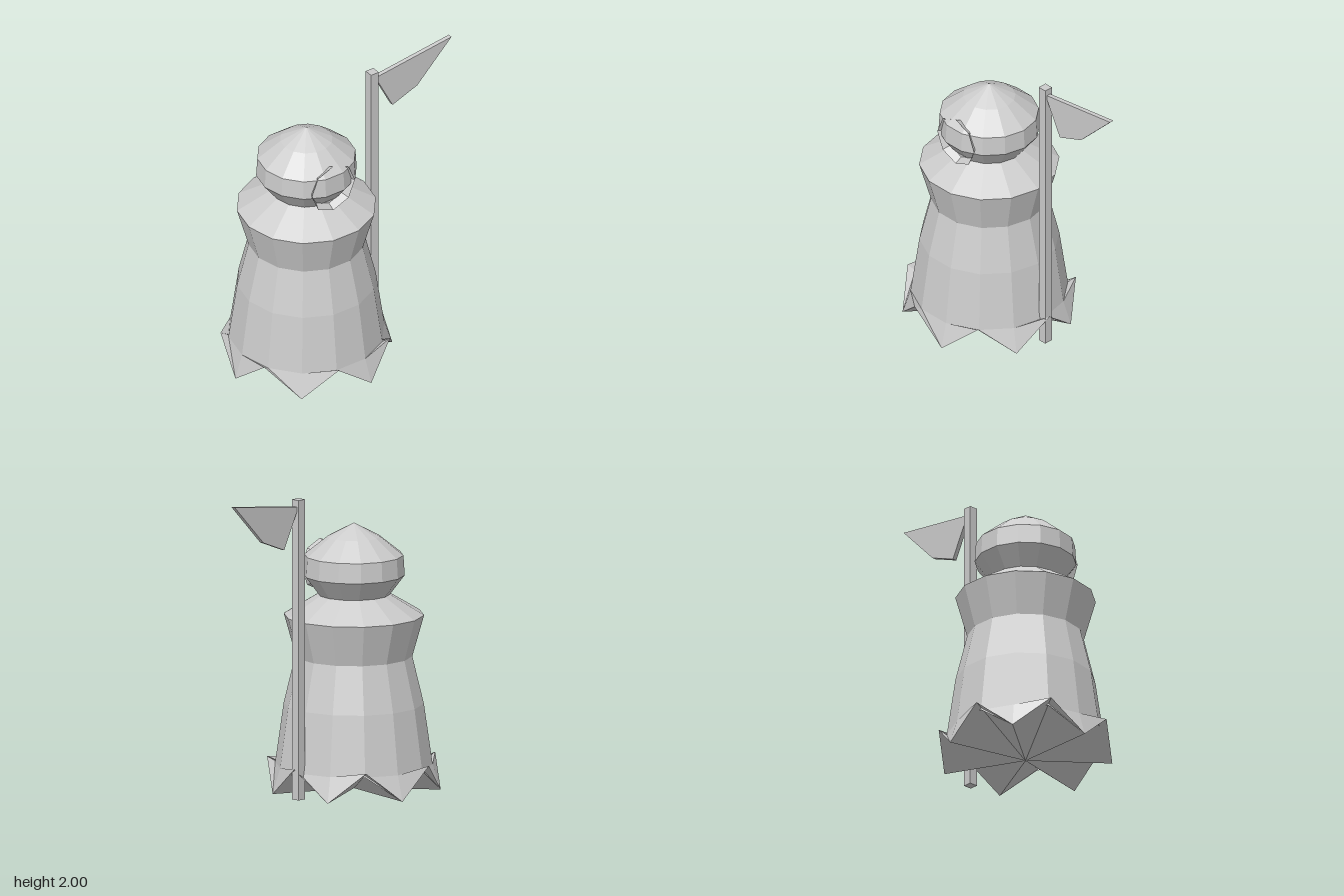
import * as THREE from 'three';

const SIDES = 14;
const AXIS_X = -0.29;

function material(options = {}) {
  return new THREE.MeshStandardMaterial({ color: 0xcccccc, flatShading: true, ...options });
}

// Faceted surface through rings [radius, heightAt(k)], listed from bottom to top
function loft(rings) {
  const positions = [];
  const point = ([r, y], k) => {
    const a = (k / SIDES) * Math.PI * 2;
    const height = typeof y === 'function' ? y(k % SIDES) : y;
    return [r * Math.cos(a), height, r * Math.sin(a)];
  };
  for (let i = 0; i < rings.length - 1; i++) {
    const low = rings[i], high = rings[i + 1];
    for (let k = 0; k < SIDES; k++) {
      const a = point(low, k), b = point(low, k + 1);
      const c = point(high, k), d = point(high, k + 1);
      if (high[0] > 0) positions.push(...a, ...c, ...d);
      if (low[0] > 0) positions.push(...a, ...d, ...b);
    }
  }
  const geometry = new THREE.BufferGeometry();
  geometry.setAttribute('position', new THREE.Float32BufferAttribute(positions, 3));
  geometry.computeVertexNormals();
  return geometry;
}

export function createModel() {
  const group = new THREE.Group();
  const add = (name, geometry, x, y, z, mat = material()) => {
    const mesh = new THREE.Mesh(geometry, mat);
    mesh.name = name;
    mesh.position.set(x, y, z);
    group.add(mesh);
    return mesh;
  };

  // Robe: underside fan, zigzag hem, waist and shoulders
  const hem = (k) => (k % 2 === 0 ? 0.2 : 0);
  add('robe', loft([
    [0, 0], [0.56, hem], [0.508, 0.165], [0.452, 0.56],
    [0.377, 0.87], [0.453, 1.14], [0.23, 1.275],
  ]), AXIS_X, 0, 0);

  // Hooded head
  add('head', loft([
    [0.23, 1.27], [0.328, 1.4], [0.32, 1.53], [0.17, 1.65], [0, 1.74],
  ]), AXIS_X, 0, 0);

  // Face opening: shallow eight-sided funnel, wide end forward
  const rim = new THREE.CylinderGeometry(0.17, 0.143, 0.05, 8, 1, true);
  rim.rotateX(Math.PI / 2);
  add('faceRim', rim, AXIS_X, 1.43, 0.275, material({ side: THREE.DoubleSide }));
  const face = new THREE.CircleGeometry(0.143, 8, Math.PI / 2);
  add('facePlate', face, AXIS_X, 1.43, 0.25, material({ side: THREE.DoubleSide }));

  // Square pole
  add('flagPole', new THREE.BoxGeometry(0.06, 1.965, 0.06), 0.23, 0.9825, 0);

  // Pennant
  const outline = [[0.25, 1.92], [0.25, 1.91], [0.38, 1.655], [0.575, 1.73], [0.845, 2]];
  const shape = new THREE.Shape(outline.map(([x, y]) => new THREE.Vector2(x, y)));
  add('flag', new THREE.ExtrudeGeometry(shape, { depth: 0.03, bevelEnabled: false }), 0, 0, -0.015);

  return group;
}
